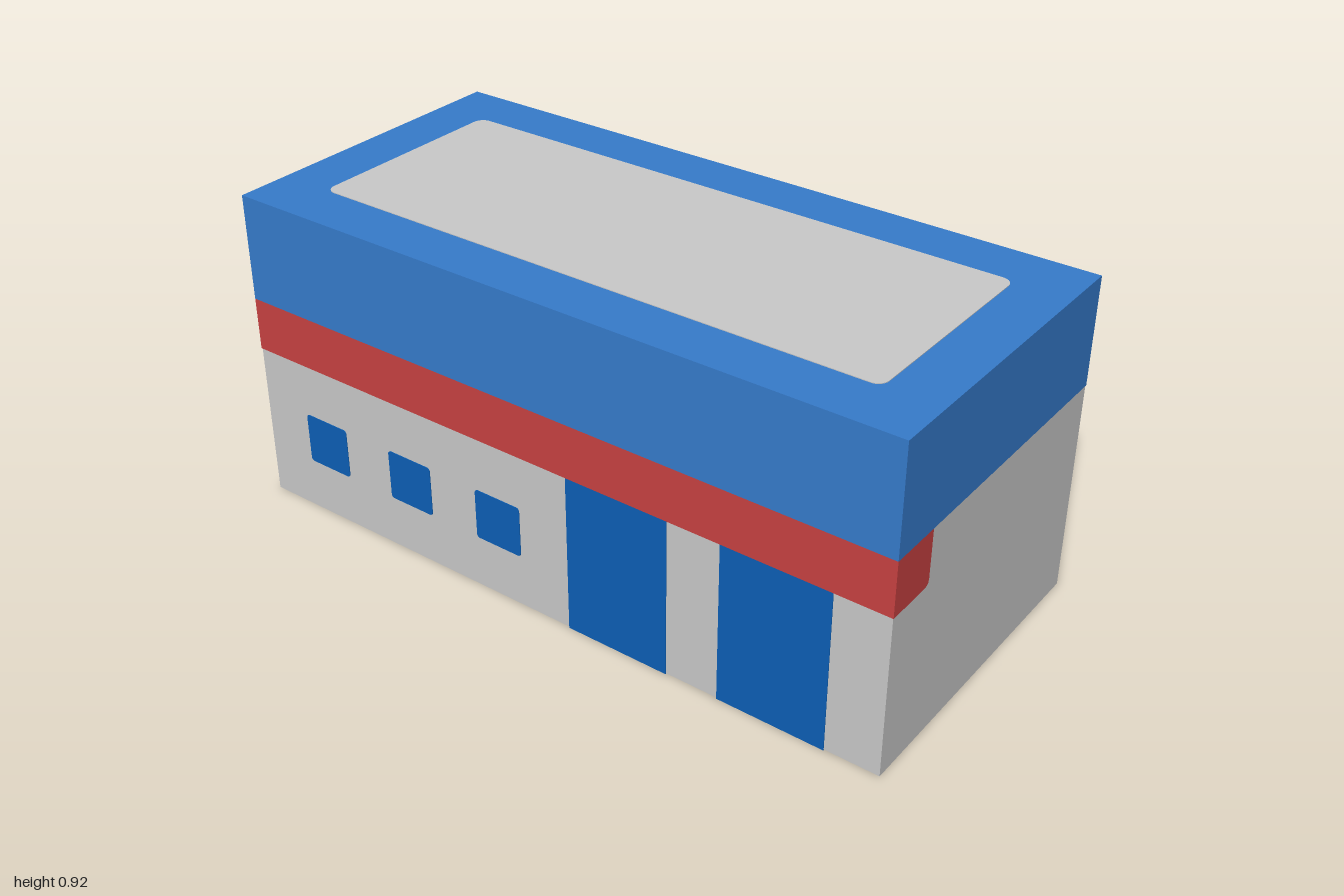
import * as THREE from 'three';

const U = 2 / 13;      // modular unit: building is 13 x 6 x 6 units
const T = 0.002;       // thickness of painted details
const W = 1, D = 3 * U, H = 6 * U;

const mat = (name, color) => {
  const m = new THREE.MeshStandardMaterial({ color });
  m.name = name;
  return m;
};

// Box given by its minimum and maximum corners
function block(name, material, [x0, y0, z0], [x1, y1, z1]) {
  const g = new THREE.BoxGeometry(x1 - x0, y1 - y0, z1 - z0);
  g.translate((x0 + x1) / 2, (y0 + y1) / 2, (z0 + z1) / 2);
  const mesh = new THREE.Mesh(g, material);
  mesh.name = name;
  return mesh;
}

// Thin plate with rounded corners, centred in xy, standing on z = 0
function roundedPlate(name, material, w, h, r) {
  const a = w / 2 - r, b = h / 2 - r;
  const s = new THREE.Shape();
  s.absarc(a, b, r, 0, Math.PI / 2);
  s.absarc(-a, b, r, Math.PI / 2, Math.PI);
  s.absarc(-a, -b, r, Math.PI, Math.PI * 1.5);
  s.absarc(a, -b, r, Math.PI * 1.5, Math.PI * 2);
  const g = new THREE.ExtrudeGeometry(s, { depth: T, bevelEnabled: false, curveSegments: 4 });
  const mesh = new THREE.Mesh(g, material);
  mesh.name = name;
  return mesh;
}

export function createModel() {
  const model = new THREE.Group();
  model.name = 'shopBuilding';
  const grey = mat('wallGrey', 0xc9c9c9);
  const blue = mat('fasciaBlue', 0x367bcb);
  const deepBlue = mat('openingBlue', 0x0c5fb5);
  const red = mat('stripeRed', 0xc84141);

  // Main walls and the upper band with the roof edge
  model.add(block('walls', grey, [-W + T, T, -D], [W - T, 4 * U, D - T]));
  model.add(block('upperBand', blue, [-W, 4 * U, -D], [W, H - T, D]));

  // Inset-looking roof panel
  const roof = roundedPlate('roofPanel', grey, 11 * U, 4 * U, 0.03);
  roof.rotation.x = -Math.PI / 2;
  roof.position.y = H - T;
  model.add(roof);

  // Red stripe across the front, wrapping one unit round each side
  const profile = new THREE.Shape();
  const r = 0.018;
  profile.moveTo(D, 3 * U);
  profile.lineTo(D, 4 * U);
  profile.lineTo(2 * U, 4 * U);
  profile.lineTo(2 * U, 3 * U + r);
  profile.quadraticCurveTo(2 * U, 3 * U, 2 * U + r, 3 * U);
  const stripeGeo = new THREE.ExtrudeGeometry(profile, { depth: 2 * W, bevelEnabled: false, curveSegments: 3 });
  stripeGeo.translate(0, 0, -W).rotateY(-Math.PI / 2);
  const stripe = new THREE.Mesh(stripeGeo, red);
  stripe.name = 'frontStripe';
  model.add(stripe);

  // Two doorways, one unit deep so that their thresholds show underneath
  for (const x of [0.5 * U, 3.5 * U]) {
    model.add(block('door', deepBlue, [x, 0, 2 * U], [x + 2 * U, 3 * U, D]));
  }

  // Three square windows
  for (const x of [-5, -3, -1]) {
    const win = roundedPlate('window', deepBlue, U * 0.97, U * 0.97, 0.01);
    win.position.set(x * U, 1.5 * U, D - T);
    model.add(win);
  }
  return model;
}
